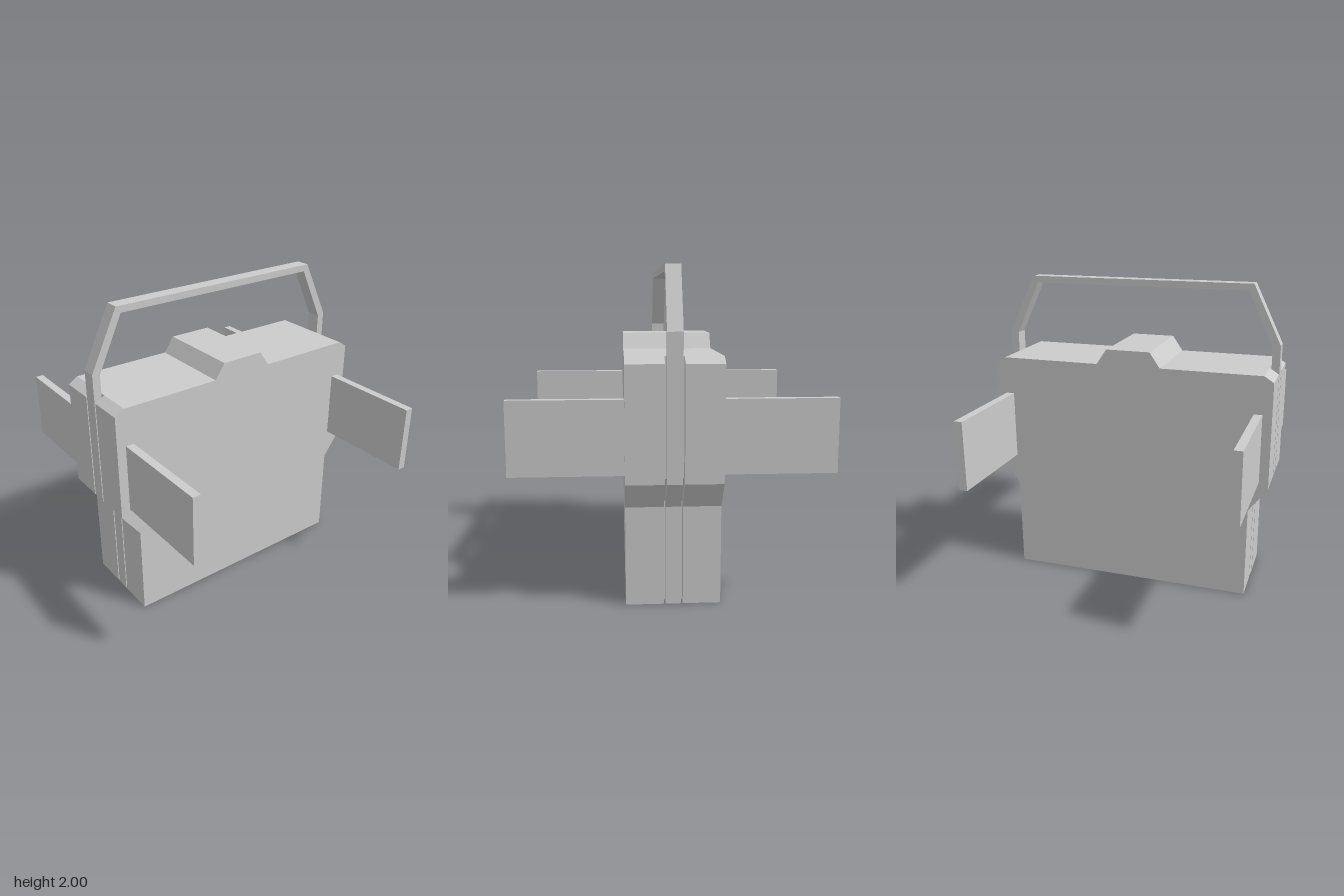
import * as THREE from 'three';

const material = new THREE.MeshStandardMaterial({ color: 0xcccccc, flatShading: true });

// Mirrors a right-hand run of points across x = 0
const mirrored = (pts) => pts.map(([x, y]) => [-x, y]).reverse();

// Extrudes an outline along z between z0 and z1
function slab(name, pts, z0, z1) {
  const shape = new THREE.Shape(pts.map(([x, y]) => new THREE.Vector2(x, y)));
  const geometry = new THREE.ExtrudeGeometry(shape, { depth: z1 - z0, bevelEnabled: false });
  geometry.translate(0, 0, z0);
  const mesh = new THREE.Mesh(geometry, material);
  mesh.name = name;
  return mesh;
}

export function createModel() {
  const group = new THREE.Group();
  group.name = 'caseWithHandle';

  // Body: front and back shells with a narrower core that leaves a groove down each side
  const top = [[0.86, 1.487], [0.21, 1.487], [0.143, 1.585]];
  const shell = [[0.8, 0], [0.8, 0.6], [0.92, 0.763], [0.92, 1.448], ...top];
  const core = [[0.74, 0], [0.74, 0.62], [0.86, 0.783], ...top];
  const halfDepth = 0.283, groove = 0.057;
  group.add(slab('frontShell', [...shell, ...mirrored(shell)], groove, halfDepth));
  group.add(slab('backShell', [...shell, ...mirrored(shell)], -halfDepth, -groove));
  group.add(slab('bodyCore', [...core, ...mirrored(core)], -groove, groove));

  // Strap: lies in the side grooves and rises into the carrying handle
  const outer = [[0.8, 0], [0.8, 0.6], [0.92, 0.763], [0.92, 1.625], [0.738, 2]];
  const inner = [[0.75, 0], [0.75, 0.617], [0.87, 0.78], [0.87, 1.613], [0.708, 1.957]];
  const innerPath = [...inner, ...mirrored(inner)].reverse();
  group.add(slab('handleStrap', [...outer, ...mirrored(outer), ...innerPath], -0.046, 0.046));

  // Flat arms projecting forward and backward near both sides
  const zIn = 0.27, zOut = 0.953;
  for (const sx of [1, -1]) {
    for (const sz of [1, -1]) {
      const arm = new THREE.Mesh(new THREE.BoxGeometry(0.053, 0.44, zOut - zIn), material);
      arm.position.set(sx * 0.834, 1.024, sz * (zIn + zOut) / 2);
      arm.name = (sz > 0 ? 'front' : 'back') + (sx > 0 ? 'Left' : 'Right') + 'Arm';
      group.add(arm);
    }
  }
  return group;
}
